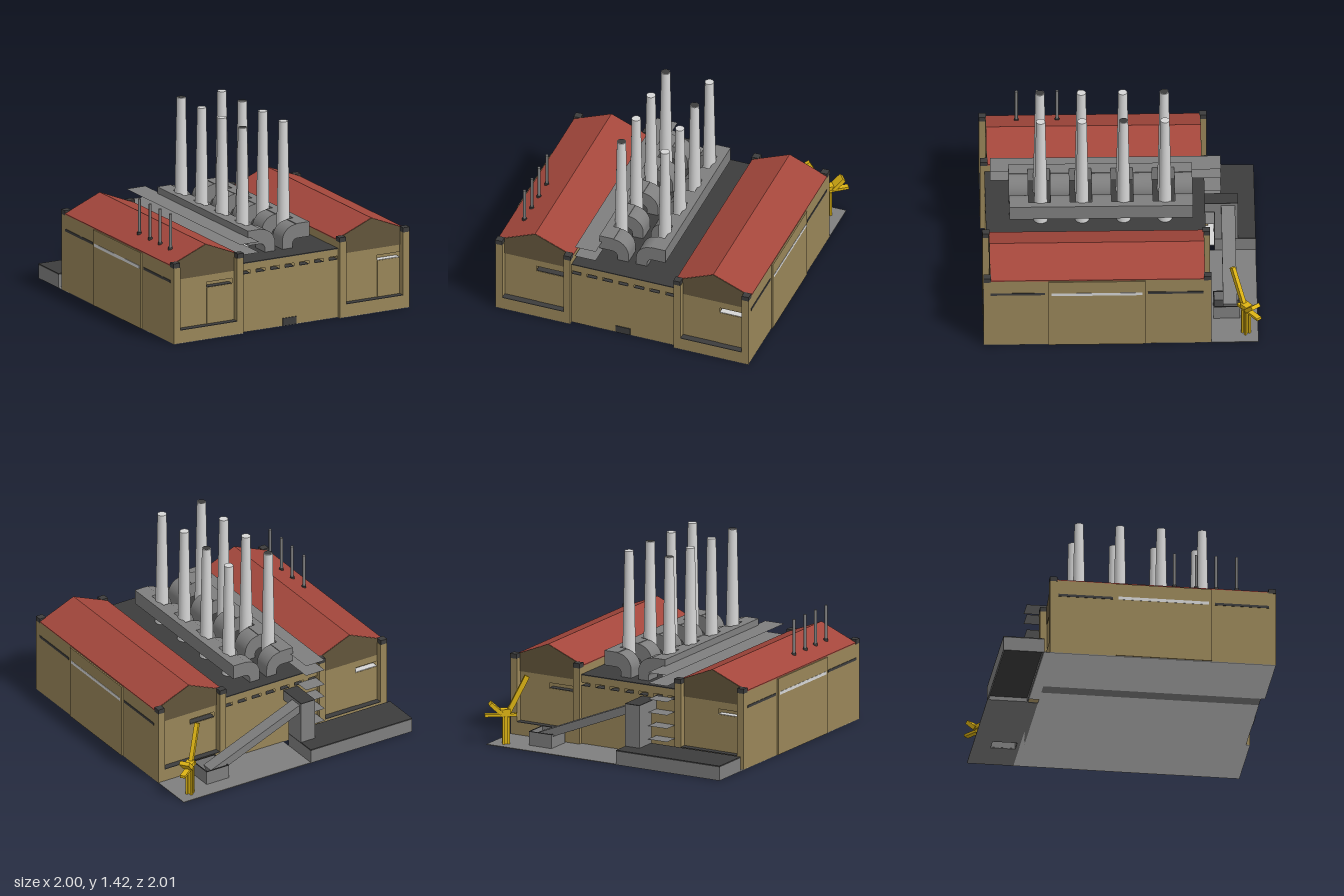
import * as THREE from 'three';

const mat = (name, color, side = THREE.FrontSide) => {
  const m = new THREE.MeshStandardMaterial({ color, side });
  m.name = name;
  return m;
};

export function createModel() {
  const root = new THREE.Group();
  root.name = 'powerStation';
  const brick = mat('brick', 0x998659);
  const gableBrick = mat('darkBrick', 0x62553b);
  const red = mat('roofRed', 0xa4473c);
  const dark = mat('darkRoof', 0x3d3d3d);
  const gray = mat('concreteGray', 0x7f7f7f, THREE.DoubleSide);
  const pale = mat('paleGray', 0xd6d6d6);
  const yellow = mat('craneYellow', 0xdeb414);

  const add = (name, geo, m, parent = root) => {
    const mesh = new THREE.Mesh(geo, m);
    mesh.name = name;
    parent.add(mesh);
    return mesh;
  };
  // Box given by its limits on each axis
  const box = (name, m, x0, x1, y0, y1, z0, z1, parent = root) => {
    const g = new THREE.BoxGeometry(Math.abs(x1 - x0), y1 - y0, Math.abs(z1 - z0));
    g.translate((x0 + x1) / 2, (y0 + y1) / 2, (z0 + z1) / 2);
    return add(name, g, m, parent);
  };
  // Profile in x and y, extruded from z0 to z1
  const prism = (name, m, shape, z0, z1, parent = root) => {
    const g = new THREE.ExtrudeGeometry(shape, { depth: z1 - z0, bevelEnabled: false, curveSegments: 12 });
    g.translate(0, 0, z0);
    return add(name, g, m, parent);
  };
  const poly = pts => new THREE.Shape(pts.map(p => new THREE.Vector2(...p)));
  const rect = (x0, x1, y0, y1) => [[x0, y0], [x0, y1], [x1, y1], [x1, y0]];
  // Wall with recessed slots; each slot is [x0, x1, y0, y1] with a sill colour
  const slottedWall = (x0, x1, top, z0, z1, slots, sill, parent) => {
    const shape = poly(rect(x0, x1, 0.004, top));
    for (const s of slots) {
      shape.holes.push(new THREE.Path(rect(...s).map(p => new THREE.Vector2(...p))));
      box('slotSill', sill, s[0], s[1], s[2] - 0.002, s[2] + 0.002, z0, z1, parent);
    }
    prism('slottedWall', brick, shape, z0, z1, parent);
  };
  // Bar between two points in the local x-y plane
  const bar = (name, m, a, b, thick, width, parent) => {
    const dx = b[0] - a[0], dy = b[1] - a[1];
    const mesh = add(name, new THREE.BoxGeometry(Math.hypot(dx, dy), thick, width), m, parent);
    mesh.position.set((a[0] + b[0]) / 2, (a[1] + b[1]) / 2, 0);
    mesh.rotation.z = Math.atan2(dy, dx);
    return mesh;
  };

  // Two gabled side halls; s points to the outer side
  for (const s of [-1, 1]) {
    const hall = new THREE.Group();
    hall.name = s < 0 ? 'rightHall' : 'leftHall';
    hall.position.x = s < 0 ? -0.70 : 0.68;
    root.add(hall);
    box('hallWalls', brick, -0.29, 0.29, 0.004, 0.578, -0.55, 0.90, hall);
    prism('hallRoof', red, poly([[-0.29, 0.578], [0.29, 0.578], [0.29, 0.585], [0, 0.705], [-0.29, 0.585]]), -0.60, 0.95, hall);
    const gable = poly([[-0.24, 0.47], [0.24, 0.47], [0.24, 0.603], [0, 0.703], [-0.24, 0.603]]);
    prism('frontGable', gableBrick, gable, 0.95, 0.954, hall);
    prism('backGable', gableBrick, gable, -0.604, -0.60, hall);

    for (const e of [1, -1]) {
      const inner = e > 0 ? 0.95 : -0.60, outer = e > 0 ? 1.0 : -0.65;
      box('plinth', brick, -0.29, 0.29, 0.004, 0.098, inner, outer, hall);
      box('plinthTop', dark, -0.24, 0.24, 0.098, 0.102, inner, outer, hall);
      for (const p of [-1, 1]) {
        box('cornerPier', brick, p * 0.29, p * 0.236, 0.004, 0.572, inner, outer, hall);
        box('pierCap', dark, p * 0.292, p * 0.238, 0.572, 0.607, inner - e * 0.004, outer, hall);
      }
      // Gate with a recessed window above it
      const q = s * e > 0 ? [0.05, 0.235] : [0.01, 0.22];
      const x0 = e > 0 ? q[0] : -q[1], x1 = e > 0 ? q[1] : -q[0];
      const [z0, z1] = e > 0 ? [0.90, 0.95] : [-0.60, -0.55];
      slottedWall(-0.29, 0.29, 0.578, z0, z1, [[x0, x1, 0.377, 0.415]], s * e > 0 ? pale : dark, hall);
      box('gate', brick, x0, x1, 0.102, 0.375, inner, inner + e * 0.003, hall);
    }

    // Long outer wall: projecting middle bay and slit windows
    const w = s * 0.29;
    box('middleBay', brick, w, w + s * 0.01, 0.004, 0.574, -0.17, 0.53, hall);
    box('middleWindow', pale, w + s * 0.008, w + s * 0.012, 0.45, 0.473, -0.15, 0.51, hall);
    box('slitWindow', dark, w, w + s * 0.003, 0.453, 0.472, 0.555, 0.95, hall);
    box('slitWindow', dark, w, w + s * 0.003, 0.453, 0.472, -0.59, -0.19, hall);
  }

  // Central boiler house with vent slots front and back
  box('boilerHouse', brick, -0.41, 0.39, 0.004, 0.515, -0.56, 0.91);
  box('boilerRoof', dark, -0.41, 0.39, 0.515, 0.522, -0.62, 0.97);
  box('frontDoor', dark, -0.07, 0.045, 0.004, 0.06, 0.97, 0.976);
  const vents = [];
  for (let i = 0; i < 7; i++) {
    const x = -0.375 + i * 0.1215;
    vents.push([Math.max(x - 0.038, -0.408), Math.min(x + 0.038, 0.388), 0.438, 0.463]);
  }
  slottedWall(-0.41, 0.39, 0.515, 0.91, 0.97, vents, dark);
  slottedWall(-0.41, 0.39, 0.515, -0.62, -0.56, vents, dark);

  // Ground plates below the buildings
  box('hallBase', pale, -0.99, -0.41, 0, 0.004, -0.69, 1);
  box('serviceStrip', gray, -0.41, -0.30, 0, 0.004, -0.62, 0.97);
  box('boilerBase', pale, -0.30, 0.39, 0, 0.004, -0.62, 0.97);
  box('hallBase', pale, 0.39, 0.97, 0, 0.004, -0.65, 1);
  box('walkway', pale, -0.41, -0.18, 0, 0.004, -0.69, -0.62);

  // Curved flue ducts, cut away around each chimney
  const elbow = new THREE.Shape();
  elbow.moveTo(0.255, 0.70);
  elbow.lineTo(0.145, 0.70);
  elbow.absarc(0.145, 0.58, 0.115, Math.PI / 2, Math.PI, false);
  elbow.lineTo(0.03, 0.52);
  elbow.lineTo(0.115, 0.52);
  elbow.lineTo(0.115, 0.55);
  elbow.absarc(0.155, 0.55, 0.04, Math.PI, Math.PI / 2, true);
  elbow.lineTo(0.255, 0.59);
  const rows = [-0.32, -0.02, 0.28, 0.58];
  for (const s of [-1, 1]) {
    const flue = new THREE.Group();
    flue.name = 'flueDuct';
    flue.position.x = -0.005;
    if (s < 0) flue.rotation.y = Math.PI;
    root.add(flue);
    const seg = [-0.53, ...rows.flatMap(z => [z - 0.08, z + 0.08]), 0.80];
    for (let i = 0; i < seg.length - 1; i++) {
      const [a, b] = s > 0 ? [seg[i], seg[i + 1]] : [-seg[i + 1], -seg[i]];
      if (i % 2 === 0) prism('ductElbow', gray, elbow, a, b, flue);
      else box('ductLink', gray, 0.20, 0.255, 0.59, 0.70, a, b, flue);
    }
    // Tapered chimneys
    rows.forEach((z, i) => {
      const sooty = s < 0 ? i === 0 || i === 3 : i === 1;
      const c = add('chimney', new THREE.CylinderGeometry(0.033, 0.051, 0.895, 24), pale);
      c.position.set(s * 0.169 - 0.007, 0.967, z - 0.008);
      if (sooty) {
        const mouth = add('chimneyMouth', new THREE.CircleGeometry(0.03, 24).rotateX(-Math.PI / 2), dark);
        mouth.position.set(c.position.x, 1.416, c.position.z);
      }
    });
  }

  // Thin vent pipes on one hall roof
  for (const z of [0.275, 0.435, 0.58, 0.73]) {
    add('ventPipe', new THREE.CylinderGeometry(0.011, 0.011, 0.28, 10), gray).position.set(-0.867, 0.76, z);
    add('pipeCollar', new THREE.CylinderGeometry(0.017, 0.017, 0.03, 10), dark).position.set(-0.867, 0.635, z);
  }

  // Thin gantry decks
  const deck = (name, y, z0, z1) =>
    add(name, new THREE.PlaneGeometry(0.16, z1 - z0).rotateX(-Math.PI / 2), gray)
      .position.set(-0.32, y, (z0 + z1) / 2);
  deck('roofGantry', 0.65, -0.74, 0.93);
  deck('lowerGantry', 0.57, -0.74, 0.93);
  for (const y of [0.15, 0.25, 0.35, 0.45]) deck('rearLanding', y, -0.74, -0.62);

  // Rear loading platform with a gray skirt
  box('platformDeck', dark, -0.98, -0.13, 0.03, 0.10, -0.98, -0.70);
  box('platformTop', dark, -0.99, -0.12, 0.10, 0.11, -0.99, -0.69);
  box('platformWall', gray, -0.99, -0.12, 0, 0.10, -0.99, -0.98);
  box('platformWall', gray, -0.99, -0.12, 0, 0.10, -0.70, -0.69);
  box('platformWall', gray, -0.99, -0.98, 0, 0.10, -0.98, -0.70);
  box('platformWall', gray, -0.13, -0.12, 0, 0.10, -0.98, -0.70);

  // Yard slab with the hopper opening
  const yard = poly([[-0.12, 0.62], [0.97, 0.62], [0.97, 0.99], [-0.12, 0.99]]);
  yard.holes.push(new THREE.Path(rect(0.58, 0.685, 0.675, 0.855).map(p => new THREE.Vector2(...p))));
  const slab = new THREE.ExtrudeGeometry(yard, { depth: 0.005, bevelEnabled: false });
  add('yardSlab', slab.rotateX(-Math.PI / 2), gray);

  // Coal hopper with a dark rim
  for (const [name, m, y0, y1] of [['hopperWall', gray, 0.005, 0.105], ['hopperRim', dark, 0.105, 0.11]]) {
    box(name, m, 0.50, 0.69, y0, y1, -0.86, -0.853);
    box(name, m, 0.50, 0.69, y0, y1, -0.677, -0.67);
    box(name, m, 0.50, 0.507, y0, y1, -0.853, -0.677);
    box(name, m, 0.683, 0.69, y0, y1, -0.853, -0.677);
  }
  box('hopperFloor', dark, 0.507, 0.58, 0.005, 0.03, -0.853, -0.677);

  // Inclined conveyor and transfer tower
  const conveyor = new THREE.Group();
  conveyor.name = 'conveyor';
  conveyor.position.z = -0.79;
  root.add(conveyor);
  bar('conveyorTube', gray, [0.63, 0.07], [-0.14, 0.385], 0.06, 0.10, conveyor);
  box('transferTower', gray, -0.24, -0.12, 0.11, 0.425, -0.86, -0.69);
  box('towerBridge', gray, -0.24, -0.12, 0.35, 0.425, -0.69, -0.62);
  box('towerRoof', dark, -0.24, -0.12, 0.425, 0.43, -0.86, -0.62);

  // Dock crane
  const crane = new THREE.Group();
  crane.name = 'crane';
  crane.position.set(0.86, 0, -0.90);
  crane.rotation.y = 0.656;
  root.add(crane);
  for (const x of [-0.018, 0.018]) for (const z of [-0.018, 0.018])
    box('craneLeg', yellow, x - 0.008, x + 0.008, 0.005, 0.21, z - 0.008, z + 0.008, crane);
  box('craneMast', yellow, -0.014, 0.014, 0.005, 0.21, -0.014, 0.014, crane);
  box('craneDeck', yellow, -0.08, 0.155, 0.21, 0.23, -0.02, 0.02, crane);
  box('craneCab', yellow, -0.03, 0.04, 0.23, 0.265, -0.03, 0.03, crane);
  bar('craneBoom', yellow, [-0.02, 0.24], [-0.155, 0.505], 0.036, 0.03, crane);
  bar('craneCounterArm', yellow, [0.035, 0.235], [0.115, 0.31], 0.03, 0.075, crane);
  return root;
}
